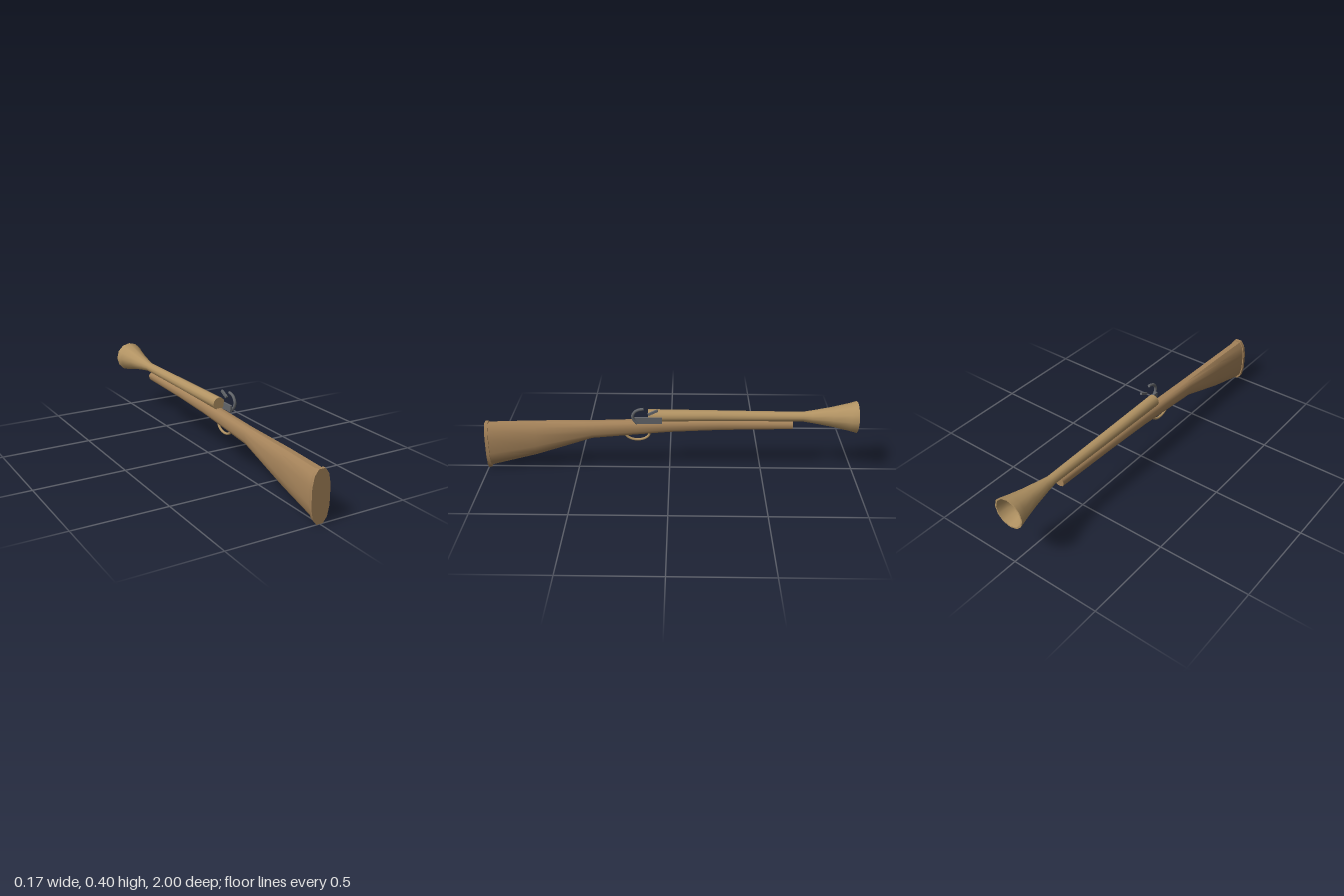
import * as THREE from 'three';
import { toCreasedNormals } from 'three/addons/utils/BufferGeometryUtils.js';

const mat = (color) => new THREE.MeshStandardMaterial({ color });

// Twelve-sided section, counter-clockwise as seen from +z (unit half sizes)
const quarter = [[1, 0.37], [0.78, 0.78], [0.36, 1]];
const section = [
  ...quarter,
  ...quarter.map(([x, y]) => [-x, y]).reverse(),
  ...quarter.map(([x, y]) => [-x, -y]),
  ...quarter.map(([x, y]) => [x, -y]).reverse(),
];

// Skin a run of sections [z, bottom, top, halfWidth], from high z to low z
function loft(stations) {
  const n = section.length, pos = [], index = [];
  for (const [z, lo, hi, w] of stations)
    for (const [x, y] of section) pos.push(x * w, (lo + hi) / 2 + y * (hi - lo) / 2, z);
  const last = (stations.length - 1) * n;
  for (let i = 0; i < last; i += n)
    for (let j = 0; j < n; j++) {
      const k = (j + 1) % n;
      index.push(i + j, i + n + j, i + k, i + k, i + n + j, i + n + k);
    }
  for (let j = 1; j < n - 1; j++) {
    index.push(0, j, j + 1);
    index.push(last, last + j + 1, last + j);
  }
  const geo = new THREE.BufferGeometry();
  geo.setAttribute('position', new THREE.Float32BufferAttribute(pos, 3));
  geo.setIndex(index);
  return toCreasedNormals(geo, 0.75);
}

// Tube along a smooth path, closed at both ends with low domes
function rod(points, radius, segments = 14, sides = 8) {
  const curve = new THREE.CatmullRomCurve3(points.map((p) => new THREE.Vector3(...p)));
  const group = new THREE.Group();
  group.add(new THREE.Mesh(new THREE.TubeGeometry(curve, segments, radius, sides)));
  for (const t of [0, 1]) {
    const cap = new THREE.Mesh(new THREE.CircleGeometry(radius, sides));
    const dir = curve.getTangent(t).multiplyScalar(t ? 1 : -1);
    cap.position.copy(curve.getPoint(t));
    cap.quaternion.setFromUnitVectors(new THREE.Vector3(0, 0, 1), dir);
    group.add(cap);
  }
  return group;
}

export function createModel() {
  const model = new THREE.Group();
  model.name = 'flaredMuzzleGun';
  const wood = mat(0xa5835a), brass = mat(0xb29363), iron = mat(0x62656a);

  const add = (name, object, material, parent = model) => {
    const part = object.isBufferGeometry ? new THREE.Mesh(object) : object;
    part.traverse((o) => { if (o.isMesh) o.material = material; });
    part.name = name;
    parent.add(part);
    return part;
  };

  // Wooden stock, tapering from the butt into the long fore-end
  add('stock', loft([
    [0.982, 0.016, 0.264, 0.045],
    [0.73, 0.082, 0.274, 0.041],
    [0.42, 0.184, 0.279, 0.035],
    [0.18, 0.207, 0.288, 0.034],
    [0, 0.224, 0.295, 0.034],
    [-0.28, 0.239, 0.299, 0.034],
    [-0.66, 0.247, 0.296, 0.029],
  ]), wood);
  add('buttPlate', loft([[1, 0, 0.27, 0.051], [0.982, 0.005, 0.27, 0.051]]), wood);

  // Barrel: profile runs from the breech to the muzzle
  const barrel = new THREE.Group();
  const lathe = (pts) => toCreasedNormals(
    new THREE.LatheGeometry(pts.map(([r, y]) => new THREE.Vector2(r, y)), 12), 0.75);
  add('barrelTube', lathe([
    [0, -0.115], [0.034, -0.115], [0.031, 0.2], [0.026, 0.71], [0.034, 0.76],
    [0.054, 0.87], [0.075, 0.96], [0.086, 1], [0.078, 1],
  ]), brass, barrel);
  add('bore', lathe([
    [0.078, 1], [0.066, 0.95], [0.045, 0.86], [0.022, 0.75], [0, 0.74],
  ]), brass, barrel);
  barrel.rotation.x = -Math.PI / 2;
  barrel.position.y = 0.316;
  barrel.name = 'barrel';
  model.add(barrel);

  // Trigger guard: half loop under the wrist
  const loop = [];
  for (let i = 0; i <= 8; i++) {
    const a = Math.PI * i / 8;
    loop.push([0, 0.213 - 0.042 * Math.sin(a), 0.174 + 0.066 * Math.cos(a)]);
  }
  add('triggerGuard', rod(loop, 0.007, 16), brass);

  // Flintlock on the left side
  const plate = add('lockPlate', new THREE.BoxGeometry(0.012, 0.036, 0.145), iron);
  plate.position.set(0.032, 0.301, 0.113);
  add('hammer', rod([
    [0.046, 0.29, 0.172], [0.047, 0.315, 0.192], [0.048, 0.338, 0.195],
    [0.049, 0.36, 0.182], [0.05, 0.371, 0.163], [0.05, 0.376, 0.137],
  ], 0.008), iron);
  const frizzen = add('frizzen', new THREE.BoxGeometry(0.012, 0.012, 0.056), iron);
  frizzen.position.set(0.048, 0.355, 0.088);
  frizzen.rotation.x = 0.45;

  return model;
}
